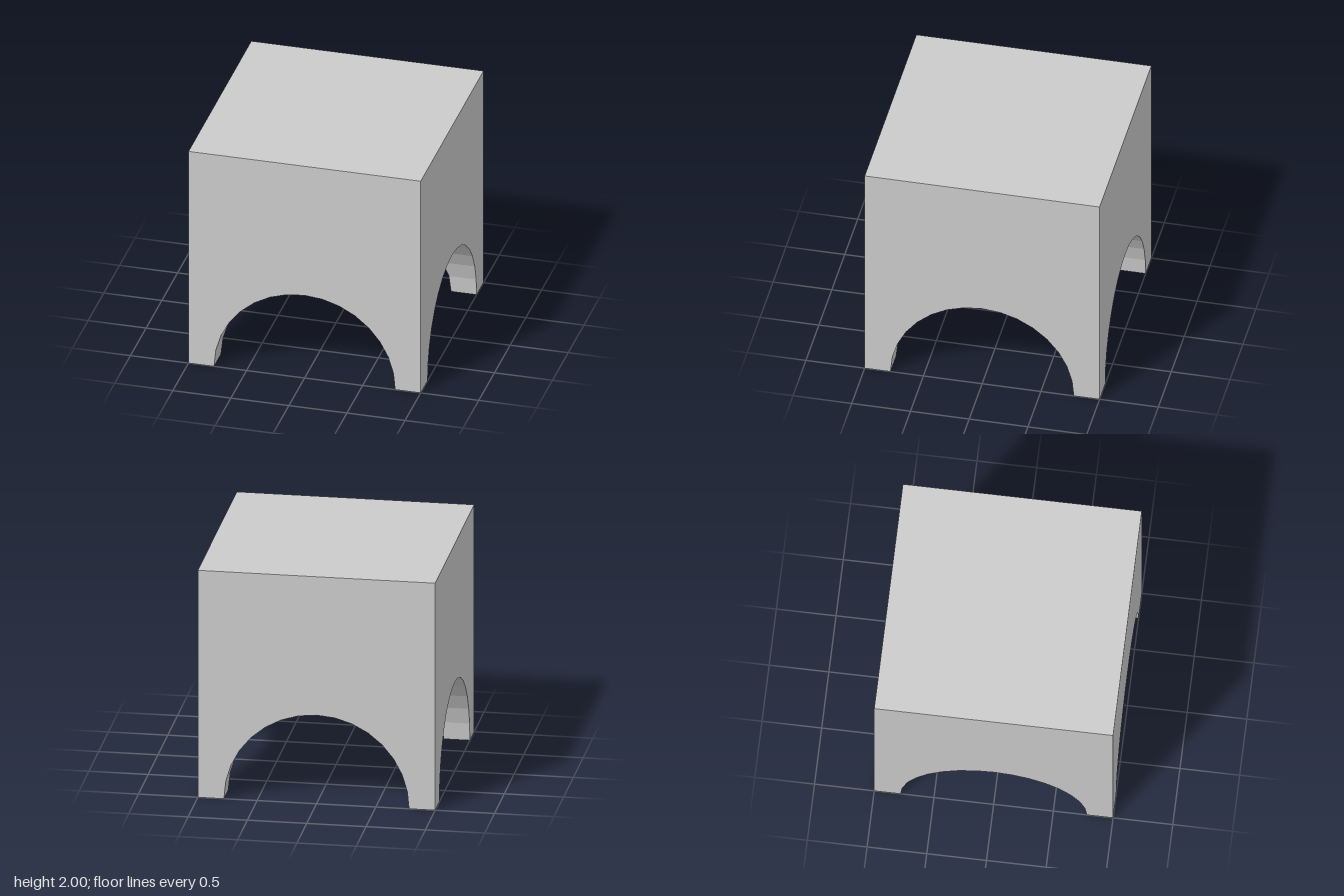
import * as THREE from 'three';

const R = 0.78;      // arch radius
const SEGMENTS = 16; // facets per arch

export function createModel() {
  const group = new THREE.Group();
  group.name = 'vaultedBlock';
  const material = new THREE.MeshStandardMaterial({ color: 0xcccccc, flatShading: true });

  const add = (parent, name, geometry) => {
    const mesh = new THREE.Mesh(geometry, material);
    mesh.name = name;
    parent.add(mesh);
    return mesh;
  };

  // Arch outline from +x over the crown to -x
  const arch = [];
  for (let i = 0; i <= SEGMENTS; i++) {
    const a = (Math.PI * i) / SEGMENTS;
    arch.push(new THREE.Vector2(R * Math.cos(a), i === SEGMENTS ? 0 : R * Math.sin(a)));
  }

  // Wall with the arched opening
  const corners = [[-1, 0], [-R, 0]].map(([x, y]) => new THREE.Vector2(x, y));
  const wallShape = new THREE.Shape([
    corners[0],
    ...arch.slice().reverse(),
    new THREE.Vector2(1, 0),
    new THREE.Vector2(1, 2),
    new THREE.Vector2(-1, 2),
  ]);
  const wallGeometry = new THREE.ShapeGeometry(wallShape);

  // Quarter of the groin vault: each strip runs from the wall to the diagonal
  const positions = [];
  for (let i = 0; i < SEGMENTS; i++) {
    const p = arch[i], q = arch[i + 1];
    const p1 = [p.x, p.y, 1], p0 = [p.x, p.y, Math.abs(p.x)];
    const q1 = [q.x, q.y, 1], q0 = [q.x, q.y, Math.abs(q.x)];
    positions.push(...p1, ...q1, ...q0, ...p1, ...q0, ...p0);
  }
  const vaultGeometry = new THREE.BufferGeometry();
  vaultGeometry.setAttribute('position', new THREE.Float32BufferAttribute(positions, 3));
  vaultGeometry.computeVertexNormals();

  // Underside of one corner leg
  const footGeometry = new THREE.PlaneGeometry(1 - R, 1 - R);
  footGeometry.rotateX(Math.PI / 2);
  footGeometry.translate((1 + R) / 2, 0, (1 + R) / 2);

  // Four identical sides
  for (const [i, label] of ['front', 'left', 'back', 'right'].entries()) {
    const side = new THREE.Group();
    side.name = `${label}Side`;
    side.rotation.y = (i * Math.PI) / 2;
    add(side, 'wall', wallGeometry).position.z = 1;
    add(side, 'vault', vaultGeometry);
    add(side, 'foot', footGeometry);
    group.add(side);
  }

  // Flat top
  const top = add(group, 'top', new THREE.PlaneGeometry(2, 2).rotateX(-Math.PI / 2));
  top.position.y = 2;

  return group;
}
